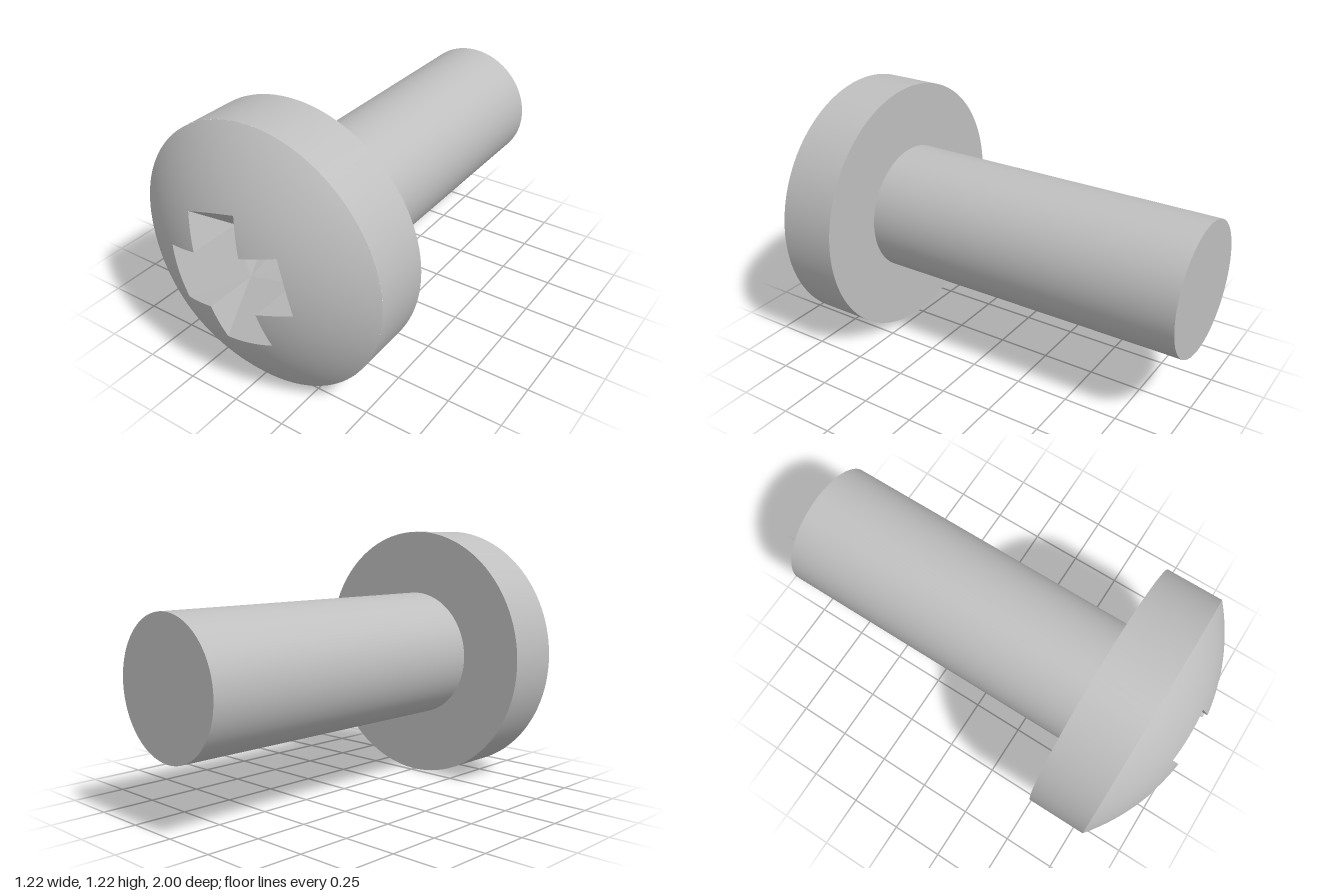
import * as THREE from 'three';

const HEAD_R = 0.61, SHAFT_R = 0.305;
const RIM_Z = 0.8, HEAD_BACK_Z = 0.525, TAIL_Z = -1;
const DOME_R = 0.97, DOME_C = RIM_Z - Math.sqrt(DOME_R ** 2 - HEAD_R ** 2);
const H = 0.124;              // half width of a recess arm
const TIP = 0.6, SLOPE = 1.26; // recess bottom and floor slope
const FLOOR = TIP + SLOPE * H;

const domeZ = (r) => DOME_C + Math.sqrt(DOME_R ** 2 - r * r);

// Outline of one arm of the cross on the dome, from -45 to 45 degrees
function armOutline() {
  const d = TIP - DOME_C;
  const solve = (a, b, c) => (-b + Math.sqrt(b * b - 4 * a * c)) / (2 * a);
  const tipX = solve(SLOPE ** 2 + 1, 2 * d * SLOPE, d * d + H * H - DOME_R ** 2);
  const corner = Math.atan2(H, tipX);
  const angles = [];
  const span = (a, b, n) => { for (let i = 0; i < n; i++) angles.push(a + (b - a) * i / n); };
  span(-Math.PI / 4, -corner, 8);
  span(-corner, corner, 12);
  span(corner, Math.PI / 4, 8);
  angles.push(Math.PI / 4);
  return angles.map((t) => {
    const k = SLOPE * Math.cos(t);
    const r = Math.abs(t) > corner + 1e-6
      ? H / Math.abs(Math.sin(t))
      : solve(k * k + 1, 2 * d * k, d * d - DOME_R ** 2);
    return { t, r };
  });
}

// Domed face with the cross-shaped opening
function domeGeometry(outline) {
  const pos = [], nor = [], idx = [], rings = 12, n = outline.length;
  for (let q = 0; q < 4; q++) {
    const base = pos.length / 3;
    for (let j = 0; j <= rings; j++) {
      for (const { t, r } of outline) {
        const a = t + q * Math.PI / 2, rr = r + (HEAD_R - r) * j / rings;
        const x = rr * Math.cos(a), y = rr * Math.sin(a), z = domeZ(rr);
        pos.push(x, y, z);
        nor.push(x / DOME_R, y / DOME_R, (z - DOME_C) / DOME_R);
      }
    }
    for (let j = 0; j < rings; j++) {
      for (let i = 0; i < n - 1; i++) {
        const a = base + j * n + i, b = a + n;
        idx.push(a, b, b + 1, a, b + 1, a + 1);
      }
    }
  }
  const g = new THREE.BufferGeometry();
  g.setAttribute('position', new THREE.Float32BufferAttribute(pos, 3));
  g.setAttribute('normal', new THREE.Float32BufferAttribute(nor, 3));
  g.setIndex(idx);
  return g;
}

// Recess: two crossing V grooves with sloping floors and upright walls
function recessGeometry(outline) {
  const pos = [];
  const edge = outline.map(({ t, r }) => [r * Math.cos(t), r * Math.sin(t), domeZ(r)]);
  const lo = [H, -H, FLOOR], hi = [H, H, FLOOR], mid = [H, 0, TIP], centre = [0, 0, TIP];
  for (let q = 0; q < 4; q++) {
    const c = Math.round(Math.cos(q * Math.PI / 2)), s = Math.round(Math.sin(q * Math.PI / 2));
    const tri = (...pts) => {
      for (const [x, y, z] of pts) pos.push(x * c - y * s, x * s + y * c, z);
    };
    for (let i = 0; i < edge.length - 1; i++) {
      tri(i < 20 ? lo : hi, edge[i], edge[i + 1]); // side wall, floor, side wall
    }
    tri(lo, edge[20], hi);
    tri(lo, hi, mid);
    tri(centre, mid, hi);
    tri(centre, lo, mid);
  }
  const g = new THREE.BufferGeometry();
  g.setAttribute('position', new THREE.Float32BufferAttribute(pos, 3));
  g.computeVertexNormals();
  return g;
}

export function createModel() {
  const steel = new THREE.MeshStandardMaterial({ color: 0xbfbfbf });
  steel.name = 'steel grey';
  const model = new THREE.Group();
  model.name = 'screw';
  const add = (name, geometry, parent) => {
    const mesh = new THREE.Mesh(geometry, steel);
    mesh.name = name;
    parent.add(mesh);
    return mesh;
  };
  const rod = (radius, z0, z1, open) =>
    new THREE.CylinderGeometry(radius, radius, z1 - z0, 112, 1, open)
      .rotateX(Math.PI / 2).translate(0, 0, (z0 + z1) / 2);

  // Head
  const head = new THREE.Group();
  head.name = 'head';
  head.rotation.z = Math.PI / 12;
  const outline = armOutline();
  add('domedFace', domeGeometry(outline), head);
  add('crossRecess', recessGeometry(outline), head);
  add('headSide', rod(HEAD_R, HEAD_BACK_Z, RIM_Z, true), head);
  add('headUnderside', new THREE.RingGeometry(SHAFT_R, HEAD_R, 112)
    .rotateY(Math.PI).translate(0, 0, HEAD_BACK_Z), head);
  model.add(head);

  // Shaft
  add('shaft', rod(SHAFT_R, TAIL_Z, HEAD_BACK_Z, false), model);

  for (const part of model.children) part.position.y = HEAD_R;
  return model;
}
